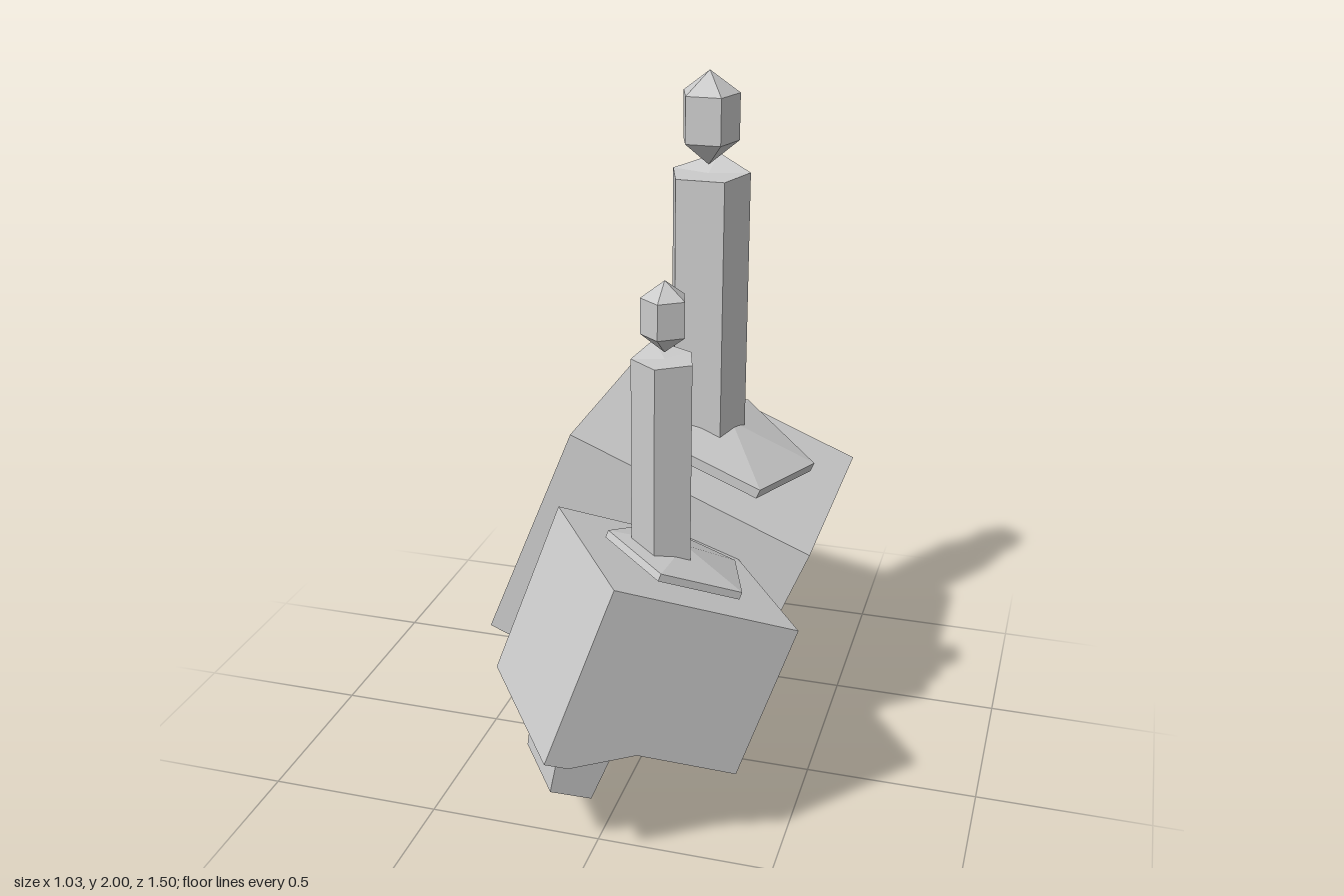
import * as THREE from 'three';

const material = new THREE.MeshStandardMaterial({ color: 0xcccccc, flatShading: true });
const TILT = THREE.MathUtils.degToRad(-22.1);

function addMesh(parent, name, geometry) {
  const mesh = new THREE.Mesh(geometry, material);
  mesh.name = name;
  parent.add(mesh);
  return mesh;
}

// Side profile pulled along z, centred on z = 0
function slab(points, depth) {
  const shape = new THREE.Shape(points.map(([x, y]) => new THREE.Vector2(x, y)));
  return new THREE.ExtrudeGeometry(shape, { depth, bevelEnabled: false }).translate(0, 0, -depth / 2);
}

// Five-sided solid of revolution with one corner pointing back
function pentagonal(points) {
  return new THREE.LatheGeometry(points.map(([r, y]) => new THREE.Vector2(r, y)), 5, Math.PI);
}

function createTower(name) {
  const tower = new THREE.Group();
  tower.name = name;

  // Tilted block with its stepped underside and tapered foot
  const base = new THREE.Group();
  base.name = 'tiltedBase';
  base.position.set(-0.31, 1.0, 0);
  base.rotation.z = TILT;
  tower.add(base);
  addMesh(base, 'block', slab([
    [0, 0], [0, -0.724], [0.097, -0.724], [0.342, -0.622], [0.772, -0.628], [0.772, 0],
  ], 0.732));

  const foot = slab([[0.11, -0.7], [0.163, -0.94], [0.338, -0.94], [0.34, -0.6]], 1);
  const pos = foot.attributes.position;
  for (let i = 0; i < pos.count; i++) {
    const halfDepth = 0.172 + (pos.getY(i) + 0.94) * 0.1;
    pos.setZ(i, Math.sign(pos.getZ(i)) * halfDepth);
  }
  foot.computeVertexNormals();
  addMesh(base, 'foot', foot);

  // Plate hovering just above the block, with a shallow peaked top
  const plate = addMesh(tower, 'plate', pentagonal([[0, 0], [0.294, 0], [0.294, 0.03], [0, 0.075]]));
  plate.position.set(0.057, 0.873, 0);
  plate.rotation.z = TILT;

  // Upright pillar, its top raised at the back corner
  const pillar = new THREE.CylinderGeometry(0.122, 0.122, 0.83, 5, 1, false, Math.PI).translate(0, 1.29, 0);
  const p = pillar.attributes.position;
  for (let i = 0; i < p.count; i++) {
    if (p.getY(i) > 1.5 && p.getZ(i) < -0.1) p.setY(i, 1.738);
  }
  addMesh(tower, 'pillar', pillar);

  // Pointed crystal above the pillar
  addMesh(tower, 'crystal', pentagonal([[0, 1.73], [0.088, 1.8], [0.088, 1.935], [0, 2]]));
  return tower;
}

export function createModel() {
  const model = new THREE.Group();
  model.name = 'twinTowers';

  const large = createTower('largeTower');
  large.position.set(0.07, 0, -0.384);

  const small = createTower('smallTower');
  small.position.set(0.13, 0.16, 0.293);
  small.rotation.y = THREE.MathUtils.degToRad(34.6);
  small.scale.setScalar(0.716);

  model.add(large, small);
  return model;
}
